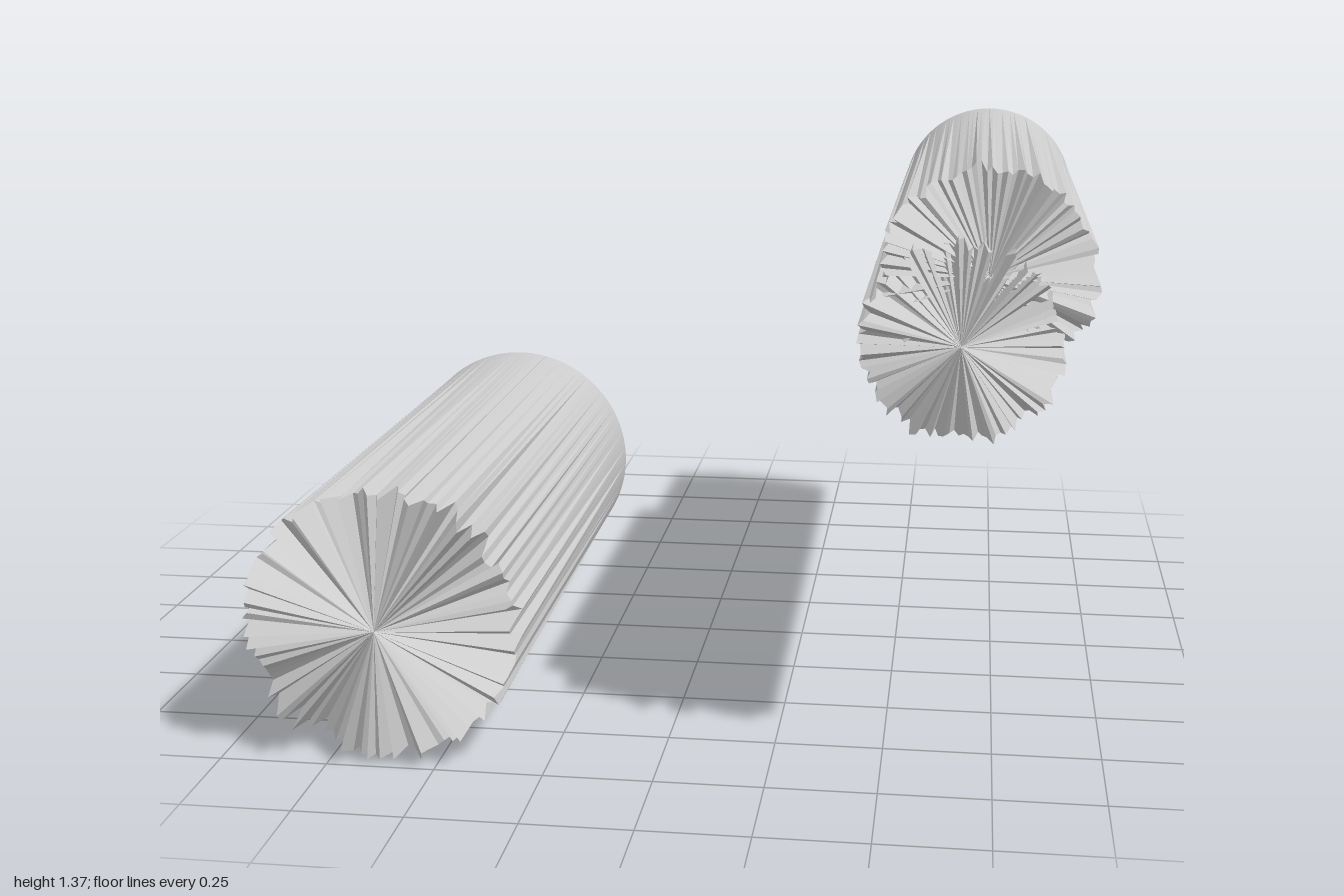
import * as THREE from 'three';

const SEGMENTS = 128;

// Small seeded random generator
function seeded(seed) {
  let s = seed;
  return () => {
    s = (s * 1664525 + 1013904223) % 4294967296;
    return s / 4294967296;
  };
}

// Log lying along z: clean sawn back end, splintered front end
function createLog({ name, x, y, radius, back, front, splinter, seed }) {
  const random = seeded(seed);
  const rim = Array.from({ length: SEGMENTS }, () => ({
    r: radius + (random() - 0.4) * 0.026,
    z: front - random() * splinter,
  }));

  const geometry = new THREE.CylinderGeometry(radius, radius, front - back, SEGMENTS);
  geometry.rotateX(Math.PI / 2);
  geometry.translate(0, 0, (front + back) / 2);

  // Push every front rim vertex to its own depth and radius
  const p = geometry.attributes.position;
  for (let i = 0; i < p.count; i++) {
    if (p.getZ(i) < front - 0.001) continue;
    if (Math.hypot(p.getX(i), p.getY(i)) < 0.001) {
      p.setZ(i, front - 0.01);
      continue;
    }
    const angle = Math.atan2(p.getY(i), p.getX(i));
    const k = (Math.round((angle / (2 * Math.PI)) * SEGMENTS) + SEGMENTS) % SEGMENTS;
    const { r, z } = rim[k];
    p.setXYZ(i, Math.cos(angle) * r, Math.sin(angle) * r, z);
  }
  geometry.computeVertexNormals();

  const material = new THREE.MeshStandardMaterial({ color: 0xcccccc, flatShading: true });
  const log = new THREE.Mesh(geometry, material);
  log.name = name;
  log.position.set(x, y, 0);
  return log;
}

export function createModel() {
  const group = new THREE.Group();
  group.name = 'splinteredLogs';
  group.add(
    createLog({ name: 'largeLog', x: -0.63, y: 0.33, radius: 0.31, back: -0.55, front: 1.0, splinter: 0.14, seed: 11 }),
    createLog({ name: 'longLog', x: 0.655, y: 1.01, radius: 0.212, back: -1.0, front: 0.97, splinter: 0.13, seed: 23 }),
    createLog({ name: 'upperLog', x: 0.71, y: 1.15, radius: 0.225, back: -0.475, front: 0.92, splinter: 0.11, seed: 37 }),
  );
  return group;
}
